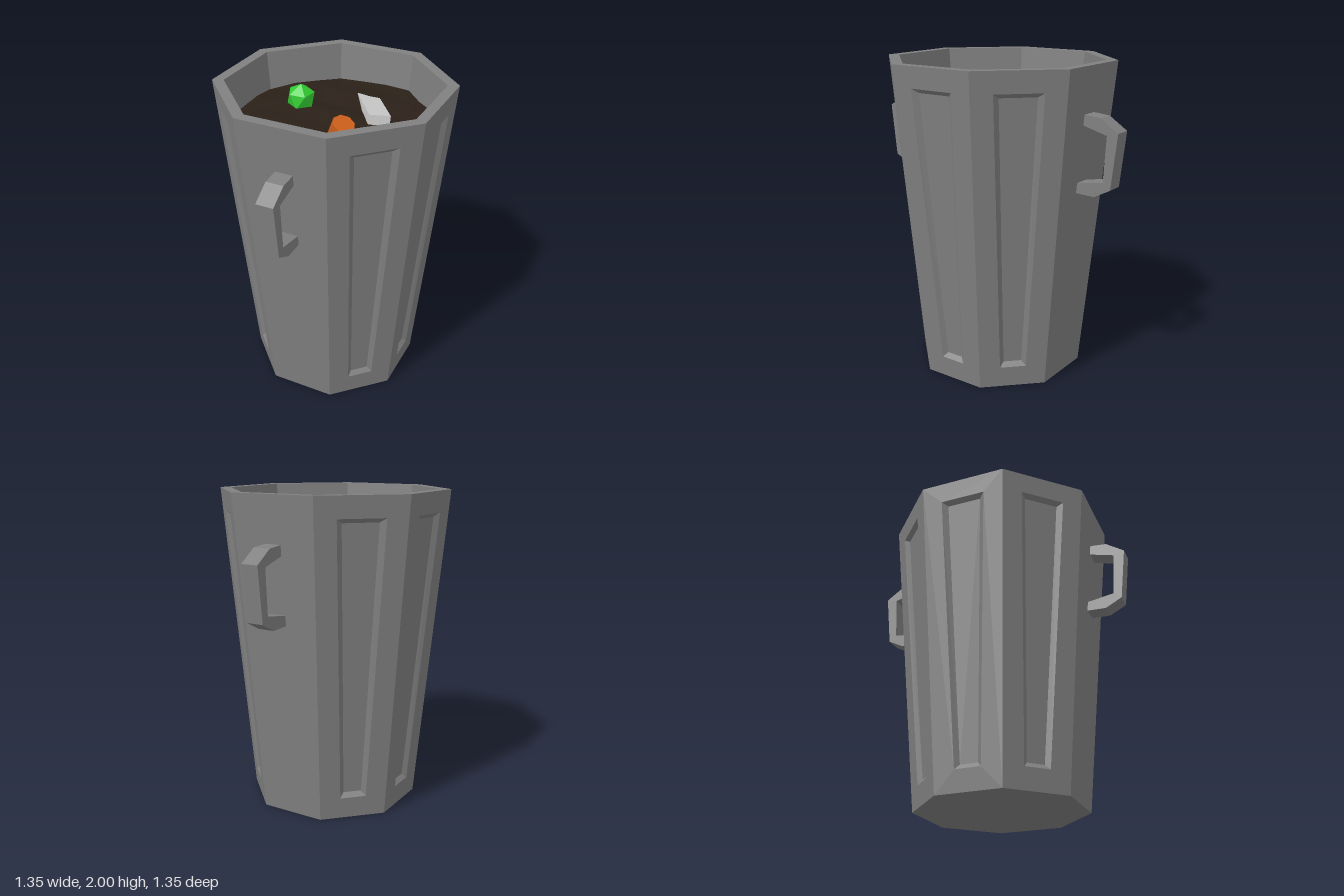
import * as THREE from 'three';

const HEIGHT = 2, SIDES = 8, HALF = Math.tan(Math.PI / SIDES);
const HANDLE_SIDES = [3, 7];
const apothem = (y) => 0.5 + 0.0875 * y; // outer wall flares upward
const INSET = 0.065, FILL_Y = 1.765;

const material = (color) => new THREE.MeshStandardMaterial({ color, flatShading: true });

function part(name, geometry, mat) {
  const mesh = new THREE.Mesh(geometry, mat);
  mesh.name = name;
  return mesh;
}

// point on side k: u across the face, y up, d inward from the wall
function onSide(k, u, y, d = 0) {
  const a = (k / SIDES) * Math.PI * 2, r = apothem(y) - d;
  return [Math.sin(a) * r + Math.cos(a) * u, y, Math.cos(a) * r - Math.sin(a) * u];
}

// four corners, counter-clockwise from lower left
function loop(k, y0, y1, w0, w1, d) {
  return [[-w0, y0], [w0, y0], [w1, y1], [-w1, y1]].map(([u, y]) => onSide(k, u, y, d));
}

function polygonGeometry(faces) {
  const positions = [];
  for (const f of faces)
    for (let i = 1; i < f.length - 1; i++) positions.push(...f[0], ...f[i], ...f[i + 1]);
  const g = new THREE.BufferGeometry();
  g.setAttribute('position', new THREE.Float32BufferAttribute(positions, 3));
  g.computeVertexNormals();
  return g;
}

// strip of quads between two corner loops
const band = (a, b) => a.map((p, i) => [p, a[(i + 1) % 4], b[(i + 1) % 4], b[i]]);

function bodyGeometry() {
  const faces = [];
  for (let k = 0; k < SIDES; k++) {
    const wall = loop(k, 0, HEIGHT, apothem(0) * HALF, apothem(HEIGHT) * HALF, 0);
    if (HANDLE_SIDES.includes(k)) faces.push(wall);
    else {
      // bevelled recessed panel
      const edge = loop(k, 0.135, 1.87, 0.082, 0.145, 0);
      const floor = loop(k, 0.165, 1.845, 0.056, 0.11, 0.025);
      faces.push(...band(wall, edge), ...band(edge, floor), floor);
    }
    // rim, inner wall and base
    const low = FILL_Y - 0.1;
    const inner = loop(k, low, HEIGHT, (apothem(low) - INSET) * HALF, (apothem(HEIGHT) - INSET) * HALF, INSET);
    faces.push([wall[3], wall[2], inner[2], inner[3]]);
    faces.push([inner[1], inner[0], inner[3], inner[2]]);
    faces.push([[0, 0, 0], wall[1], wall[0]]);
  }
  return polygonGeometry(faces);
}

// uneven octagonal surface of the contents
function fillGeometry() {
  const rings = 6, perSide = 3, count = SIDES * perSide, r = apothem(FILL_Y) - INSET + 0.004;
  const point = (ring, i) => {
    const k = Math.floor(i / perSide) % SIDES, u = ((i % perSide) / perSide) * 2 - 1;
    const [x, , z] = onSide(k, u * r * HALF, FILL_Y, apothem(FILL_Y) - r);
    const s = ring / rings, px = x * s, pz = z * s;
    const bump = Math.sin(px * 9 + 1.3) * Math.cos(pz * 8 - 0.6) + 0.6 * Math.sin(px * 17 - pz * 14);
    return [px, FILL_Y + 0.012 * bump, pz];
  };
  const faces = [];
  for (let i = 0; i < count; i++) {
    faces.push([point(0, i), point(1, i), point(1, i + 1)]);
    for (let j = 1; j < rings; j++)
      faces.push([point(j, i), point(j + 1, i), point(j + 1, i + 1), point(j, i + 1)]);
  }
  return polygonGeometry(faces);
}

// bracket profile: distance from the axis, height
function handleGeometry() {
  const profile = [
    [0.60, 1.24], [0.73, 1.235], [0.835, 1.29], [0.872, 1.63], [0.755, 1.708], [0.62, 1.72],
    [0.62, 1.66], [0.80, 1.61], [0.785, 1.33], [0.60, 1.30],
  ];
  const shape = new THREE.Shape(profile.map(([x, y]) => new THREE.Vector2(x, y)));
  return new THREE.ExtrudeGeometry(shape, { depth: 0.11, bevelEnabled: false }).translate(0, 0, -0.055);
}

export function createModel() {
  const bin = new THREE.Group();
  bin.name = 'trashBin';
  const metal = material(0x808080);
  bin.add(part('body', bodyGeometry(), metal));

  // handles on two opposite diagonal sides
  const handle = handleGeometry();
  for (const k of HANDLE_SIDES) {
    const mesh = part(k === 3 ? 'leftHandle' : 'rightHandle', handle, metal);
    mesh.rotation.y = (k / SIDES) * Math.PI * 2 - Math.PI / 2;
    mesh.position.set(0.007, 0, 0.007);
    bin.add(mesh);
  }

  // contents
  bin.add(part('fill', fillGeometry(), material(0x2a2018)));

  const ball = part('greenLump', new THREE.IcosahedronGeometry(0.094, 0), material(0x33cc33));
  ball.position.set(-0.13, 1.81, -0.275);
  ball.rotation.set(0.1, 0.3, 0.553);
  bin.add(ball);

  const can = part('orangeCan', new THREE.CylinderGeometry(0.068, 0.068, 0.2, 8), material(0xcc5f1a));
  const axis = new THREE.Vector3(0.13, 0.88, 0.43).normalize();
  can.quaternion.setFromUnitVectors(new THREE.Vector3(0, 1, 0), axis);
  can.position.set(-0.055, 1.885, 0.315).addScaledVector(axis, -0.1);
  bin.add(can);

  const plank = part('plank', new THREE.BoxGeometry(0.13, 0.06, 0.48), material(0xcccccc));
  plank.position.set(0.265, 1.772, -0.05);
  plank.rotation.set(-0.14, -0.21, -0.12, 'YXZ');
  bin.add(plank);

  return bin;
}
